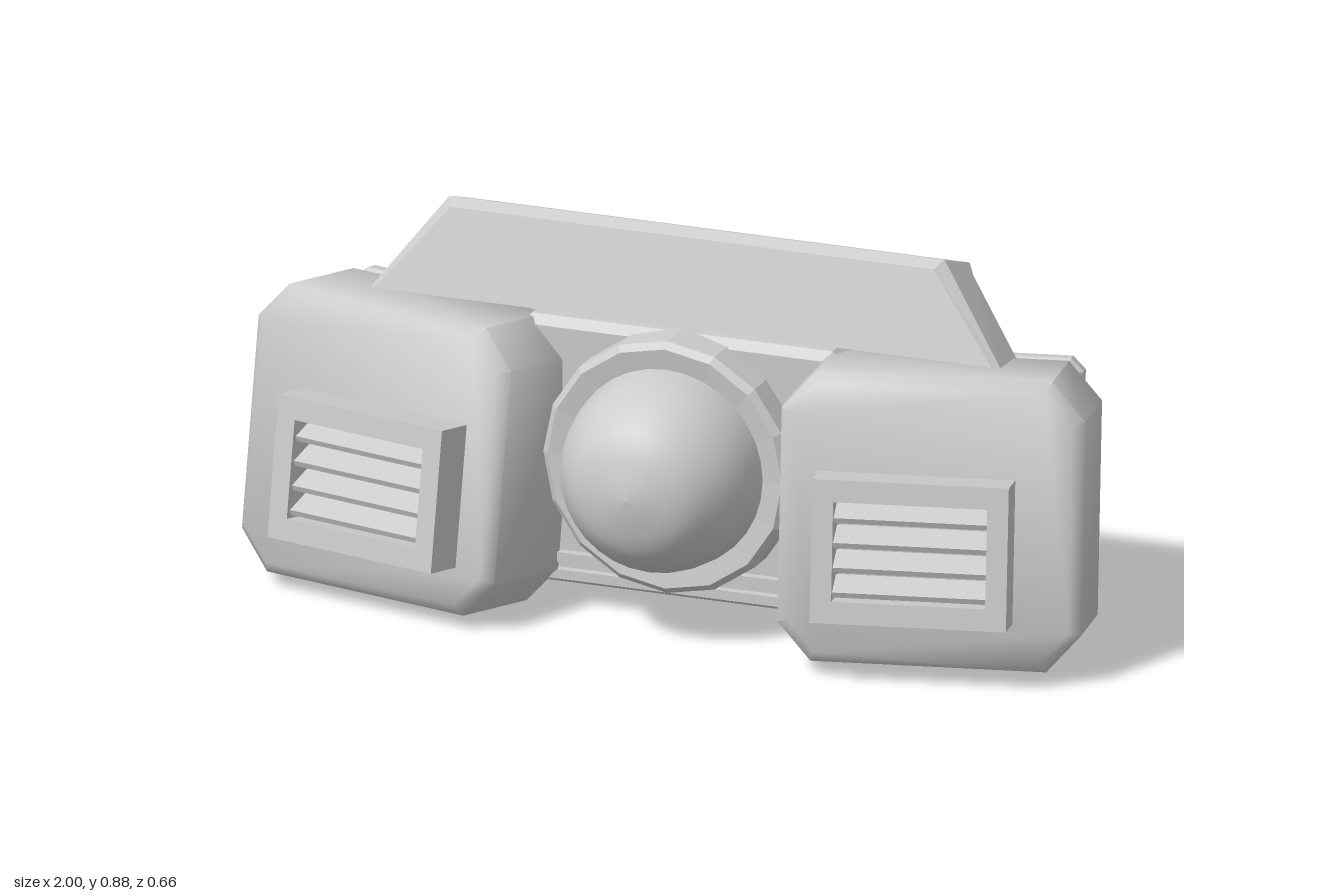
import * as THREE from 'three';
import { toCreasedNormals } from 'three/addons/utils/BufferGeometryUtils.js';

const grey = new THREE.MeshStandardMaterial({ color: 0xcccccc });
grey.name = 'grey';

function add(parent, name, geometry, x = 0, y = 0, z = 0) {
  const mesh = new THREE.Mesh(geometry, grey);
  mesh.name = name;
  mesh.position.set(x, y, z);
  parent.add(mesh);
  return mesh;
}

// Flat facets on every face
function faceted(geometry) {
  const g = geometry.index ? geometry.toNonIndexed() : geometry;
  g.computeVertexNormals();
  return g;
}

// Slab with cut corners and bevelled front and back rims, centred on the origin
function bevelSlab(w, h, d, cx, cy, bevel) {
  const a = w / 2 - bevel, b = h / 2 - bevel;
  const shape = new THREE.Shape([
    [-a + cx, -b], [a - cx, -b], [a, -b + cy], [a, b - cy],
    [a - cx, b], [-a + cx, b], [-a, b - cy], [-a, -b + cy],
  ].map(([x, y]) => new THREE.Vector2(x, y)));
  const g = new THREE.ExtrudeGeometry(shape, {
    depth: d - 2 * bevel, bevelEnabled: true, bevelSegments: 1,
    bevelSize: bevel, bevelThickness: bevel,
  });
  return faceted(g.translate(0, 0, -d / 2 + bevel));
}

// Rectangular frame with an opening
function frameGeometry(w, h, d, openW, openH) {
  const rect = (Type, a, b) => new Type([
    new THREE.Vector2(-a / 2, -b / 2), new THREE.Vector2(a / 2, -b / 2),
    new THREE.Vector2(a / 2, b / 2), new THREE.Vector2(-a / 2, b / 2),
  ]);
  const shape = rect(THREE.Shape, w, h);
  shape.holes.push(rect(THREE.Path, openW, openH));
  return new THREE.ExtrudeGeometry(shape, { depth: d, bevelEnabled: false });
}

// Top bar: tilted section swept along x, its ends slanting inward with height
function topBarGeometry() {
  const section = [ // z, y, half length
    [-0.045, 0.668, 0.735], [-0.1, 0.86, 0.575], [-0.13, 0.875, 0.59],
    [-0.255, 0.83, 0.6], [-0.27, 0.8, 0.6], [-0.205, 0.64, 0.73], [-0.06, 0.664, 0.75],
  ];
  const n = section.length, pos = [], index = [];
  for (const side of [-1, 1]) for (const [z, y, x] of section) pos.push(side * x, y, z);
  for (let i = 0; i < n; i++) {
    const j = (i + 1) % n;
    index.push(i, n + i, n + j, i, n + j, j);
    // End caps fan out from the last, widest corner
    if (i < n - 2) index.push(n - 1, i, i + 1, 2 * n - 1, n + i + 1, n + i);
  }
  const g = new THREE.BufferGeometry();
  g.setAttribute('position', new THREE.Float32BufferAttribute(pos, 3));
  g.setIndex(index);
  return faceted(g);
}

// One side housing with its vent, back plate and bolt; s = 1 left, -1 right
function housing(s) {
  const group = new THREE.Group();
  group.name = s > 0 ? 'leftHousing' : 'rightHousing';
  group.position.set(s * 0.633, 0.34, 0.008);
  group.rotation.set(-0.135, s * 0.227, 0, 'YXZ');

  const body = toCreasedNormals(bevelSlab(0.68, 0.655, 0.3, 0.062, 0.07, 0.025), 0.8);
  add(group, 'housingBody', body, 0, -0.003, 0);

  // Vent frame and slanted louvres
  const vx = -s * 0.03, vy = -0.058;
  add(group, 'ventFrame', frameGeometry(0.44, 0.325, 0.13, 0.345, 0.225), vx, vy, 0.117);
  for (let i = 0; i < 4; i++) {
    const slat = add(group, 'ventSlat', new THREE.BoxGeometry(0.345, 0.014, 0.065),
      vx, vy - 0.084 + i * 0.056, 0.205);
    slat.rotation.x = 0.5;
  }

  // Back plate: inner step, outer cover and a lower strip
  add(group, 'backStep', bevelSlab(0.6, 0.58, 0.05, 0.03, 0.03, 0.015), 0, 0.012, -0.16);
  add(group, 'backPlate', bevelSlab(0.58, 0.59, 0.06, 0.02, 0.02, 0.015), 0, 0.025, -0.193);
  add(group, 'backStrip', new THREE.BoxGeometry(0.54, 0.08, 0.008), 0, -0.21, -0.223);

  // Bolt
  const washer = add(group, 'boltWasher',
    new THREE.CylinderGeometry(0.064, 0.064, 0.016, 16), s * 0.22, -0.17, -0.228);
  const bolt = add(group, 'boltHead',
    faceted(new THREE.CylinderGeometry(0.048, 0.048, 0.016, 6)), s * 0.22, -0.17, -0.238);
  washer.rotation.x = bolt.rotation.x = Math.PI / 2;
  return group;
}

const lathe = (points, sides) => new THREE.LatheGeometry(
  points.map(([r, h]) => new THREE.Vector2(r, h)), sides).rotateX(Math.PI / 2);

export function createModel() {
  const model = new THREE.Group();
  model.name = 'lampUnit';

  for (const s of [1, -1]) model.add(housing(s));

  // Central body with ribs along its lower front
  add(model, 'centreBody', bevelSlab(0.8, 0.62, 0.2, 0.03, 0.03, 0.02), 0, 0.35, -0.12);
  for (const y of [0.07, 0.11]) {
    add(model, 'centreRib', new THREE.BoxGeometry(0.7, 0.022, 0.03), 0, y, -0.015);
  }

  // Collar ring and domed lens
  add(model, 'collarRing', faceted(lathe(
    [[0.295, -0.1], [0.295, 0.05], [0.28, 0.065], [0.215, 0.055]], 16)), 0, 0.372, 0);
  const profile = new THREE.SplineCurve([
    [0.23, -0.04], [0.23, 0.07], [0.205, 0.175], [0.135, 0.265], [0.03, 0.3],
  ].map(([r, h]) => new THREE.Vector2(r, h))).getPoints(14);
  add(model, 'domeLens', lathe(
    [...profile.map((p) => [p.x, p.y]), [0, 0.303]], 32), 0, 0.372, 0);

  // Top bar and back box
  add(model, 'topBar', topBarGeometry());
  add(model, 'backBox', bevelSlab(0.84, 0.67, 0.14, 0.025, 0.025, 0.022), 0, 0.35, -0.255);

  return model;
}
